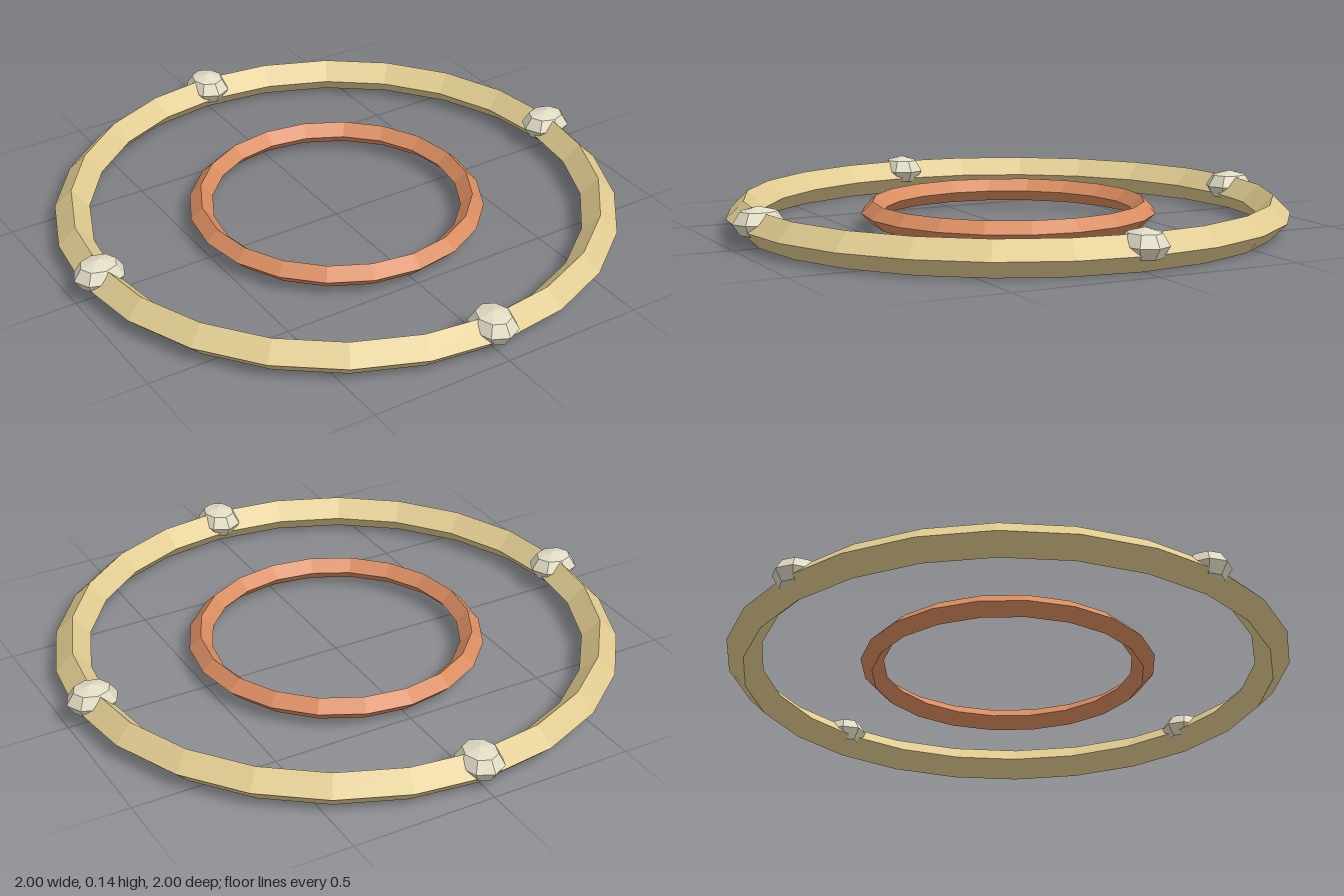
import * as THREE from 'three';

const material = (color) => new THREE.MeshStandardMaterial({ color, flatShading: true });

// Flat-lying ring with a diamond cross-section
function ring(name, radius, tube, sides, mat) {
  const geometry = new THREE.TorusGeometry(radius, tube, 4, sides).rotateX(Math.PI / 2);
  const mesh = new THREE.Mesh(geometry, mat);
  mesh.name = name;
  mesh.position.y = 0.06;
  return mesh;
}

export function createModel() {
  const model = new THREE.Group();
  model.name = 'ringSet';
  const outerRadius = 0.91;

  model.add(ring('outerRing', outerRadius, 0.06, 24, material(0xe0cb90)));
  model.add(ring('innerRing', 0.47, 0.04, 20, material(0xd98c60)));

  // Four faceted studs, slightly longer along the radius
  const studMaterial = material(0xe0dbc4);
  const studGeometry = new THREE.SphereGeometry(1, 8, 4).scale(0.09, 0.055, 0.077);
  for (let i = 0; i < 4; i++) {
    const angle = (i * Math.PI) / 2;
    const stud = new THREE.Mesh(studGeometry, studMaterial);
    stud.name = `stud${i + 1}`;
    stud.position.set(outerRadius * Math.cos(angle), 0.085, -outerRadius * Math.sin(angle));
    stud.rotation.y = angle;
    model.add(stud);
  }
  return model;
}
